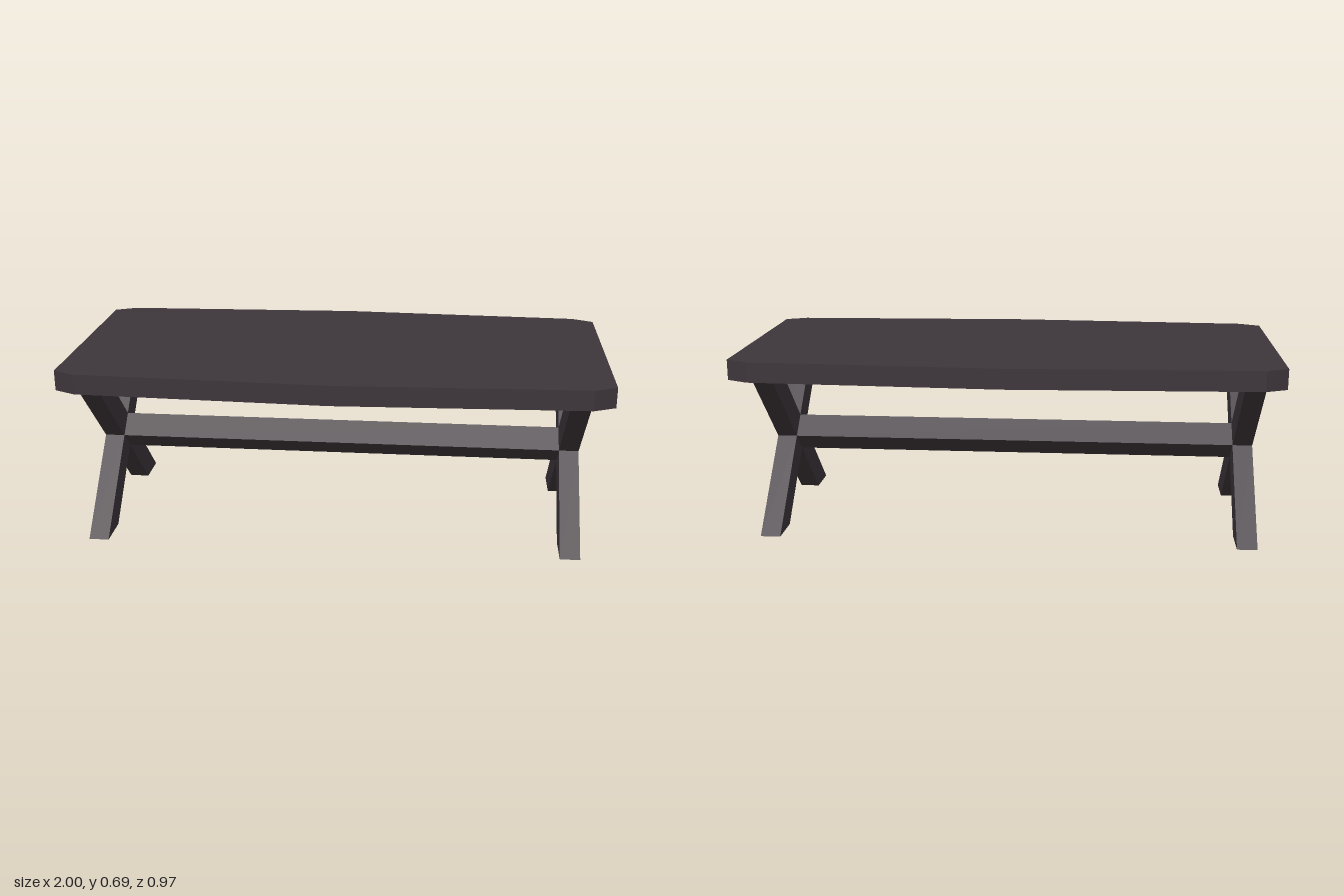
import * as THREE from 'three';

const TOP_Y = 0.69, UNDER_Y = 0.615, MID_Y = 0.31;

// Flat-sided prism from an outline of [x, y] pairs, centred along z
function prism(points, depth) {
  const shape = new THREE.Shape(points.map(([x, y]) => new THREE.Vector2(x, y)));
  return new THREE.ExtrudeGeometry(shape, { depth, bevelEnabled: false }).translate(0, 0, -depth / 2);
}

export function createModel() {
  const model = new THREE.Group();
  model.name = 'table';
  const wood = new THREE.MeshStandardMaterial({ color: 0x3d353a });
  wood.name = 'dark wood';

  const add = (name, geometry, x, y) => {
    const mesh = new THREE.Mesh(geometry, wood);
    mesh.name = name;
    mesh.position.set(x, y, 0);
    model.add(mesh);
  };

  // Table top: long sides bowed outward, corners clipped
  const outline = [
    [1, -0.41], [1, 0.41], [0.92, 0.448], [0, 0.483], [-0.92, 0.448],
    [-1, 0.41], [-1, -0.41], [-0.92, -0.448], [0, -0.483], [0.92, -0.448],
  ];
  const thickness = TOP_Y - UNDER_Y;
  add('tableTop', prism(outline, thickness).rotateX(-Math.PI / 2), 0, (TOP_Y + UNDER_Y) / 2);

  // Crossed legs: one X-shaped frame at each end
  const outer = 0.376, inner = 0.238, notch = 0.069, h = UNDER_Y - MID_Y;
  const cross = [
    [-outer, -MID_Y], [-inner, -MID_Y], [0, -notch], [inner, -MID_Y], [outer, -MID_Y], [notch, 0],
    [outer, h], [inner, h], [0, notch], [-inner, h], [-outer, h], [-notch, 0],
  ];
  const legs = prism(cross, 0.075).rotateY(-Math.PI / 2);
  add('leftCrossLegs', legs, 0.888, MID_Y);
  add('rightCrossLegs', legs, -0.897, MID_Y);

  // Stretcher: square beam turned on edge between the crossings
  const diamond = [[notch, 0], [0, notch], [-notch, 0], [0, -notch]];
  add('stretcher', prism(diamond, 1.711).rotateY(-Math.PI / 2), -0.004, MID_Y);

  return model;
}
